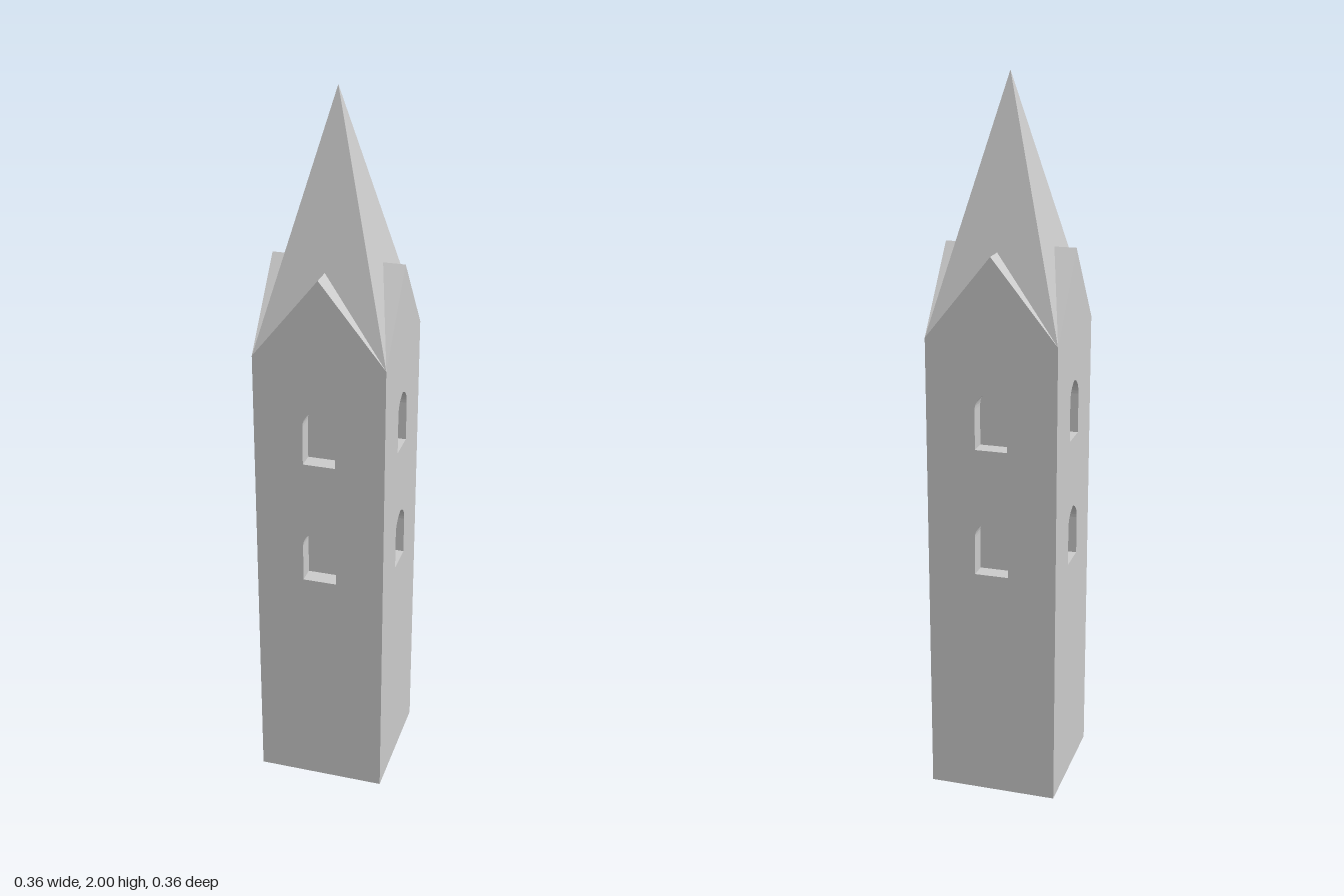
import * as THREE from 'three';

const HALF = 0.181;      // outer half width
const INNER = 0.133;     // inner half width
const EAVE = 1.325;      // corner height where the roof starts
const PEAK = 1.55;       // gable peak
const APEX = 2;          // spire tip

const material = new THREE.MeshStandardMaterial({
  color: 0xcccccc, flatShading: true, side: THREE.DoubleSide,
});

// Slightly pointed arched opening
function windowPath(sill, top, halfWidth) {
  const spring = top - 0.052, shoulder = top - 0.014;
  const p = new THREE.Path();
  p.moveTo(-halfWidth, sill);
  p.lineTo(halfWidth, sill);
  p.lineTo(halfWidth, spring);
  p.quadraticCurveTo(halfWidth, shoulder, 0, top);
  p.quadraticCurveTo(-halfWidth, shoulder, -halfWidth, spring);
  p.closePath();
  return p;
}

// Gabled wall panel with two openings, mitred at the corners
function wallGeometry() {
  const shape = new THREE.Shape([
    [-HALF, 0], [HALF, 0], [HALF, EAVE], [0, PEAK], [-HALF, EAVE],
  ].map(([x, y]) => new THREE.Vector2(x, y)));
  shape.holes.push(windowPath(0.667, 0.826, 0.047), windowPath(1.027, 1.19, 0.045));
  const geo = new THREE.ExtrudeGeometry(shape, {
    depth: HALF - INNER, bevelEnabled: false, curveSegments: 8,
  });
  geo.translate(0, 0, INNER);
  const pos = geo.attributes.position;
  for (let i = 0; i < pos.count; i++) {
    if (pos.getZ(i) > INNER + 0.01) continue;
    // inner side: narrower, and level at the eaves
    if (Math.abs(pos.getX(i)) > INNER) pos.setX(i, Math.sign(pos.getX(i)) * INNER);
    pos.setY(i, Math.min(pos.getY(i), EAVE));
  }
  geo.computeVertexNormals();
  return geo;
}

function triangles(points) {
  const geo = new THREE.BufferGeometry();
  geo.setAttribute('position', new THREE.Float32BufferAttribute(points.flat(), 3));
  geo.computeVertexNormals();
  return geo;
}

export function createModel() {
  const group = new THREE.Group();
  const wall = wallGeometry();

  // One face of the tall pyramid
  const left = [-HALF, EAVE, HALF], right = [HALF, EAVE, HALF];
  const spire = triangles([left, right, [0, APEX, 0]]);

  // Small ridge roof running from the gable back to the spire
  const front = [0, PEAK, HALF];
  const back = [0, PEAK, HALF * (APEX - PEAK) / (APEX - EAVE)];
  const gableRoof = triangles([right, back, front, left, front, back]);

  const parts = { wall, spireFace: spire, gableRoof };
  ['front', 'left', 'back', 'right'].forEach((sideName, i) => {
    const side = new THREE.Group();
    side.name = `${sideName}Side`;
    side.rotation.y = i * Math.PI / 2;
    for (const [name, geo] of Object.entries(parts)) {
      const mesh = new THREE.Mesh(geo, material);
      mesh.name = name;
      side.add(mesh);
    }
    group.add(side);
  });
  return group;
}
